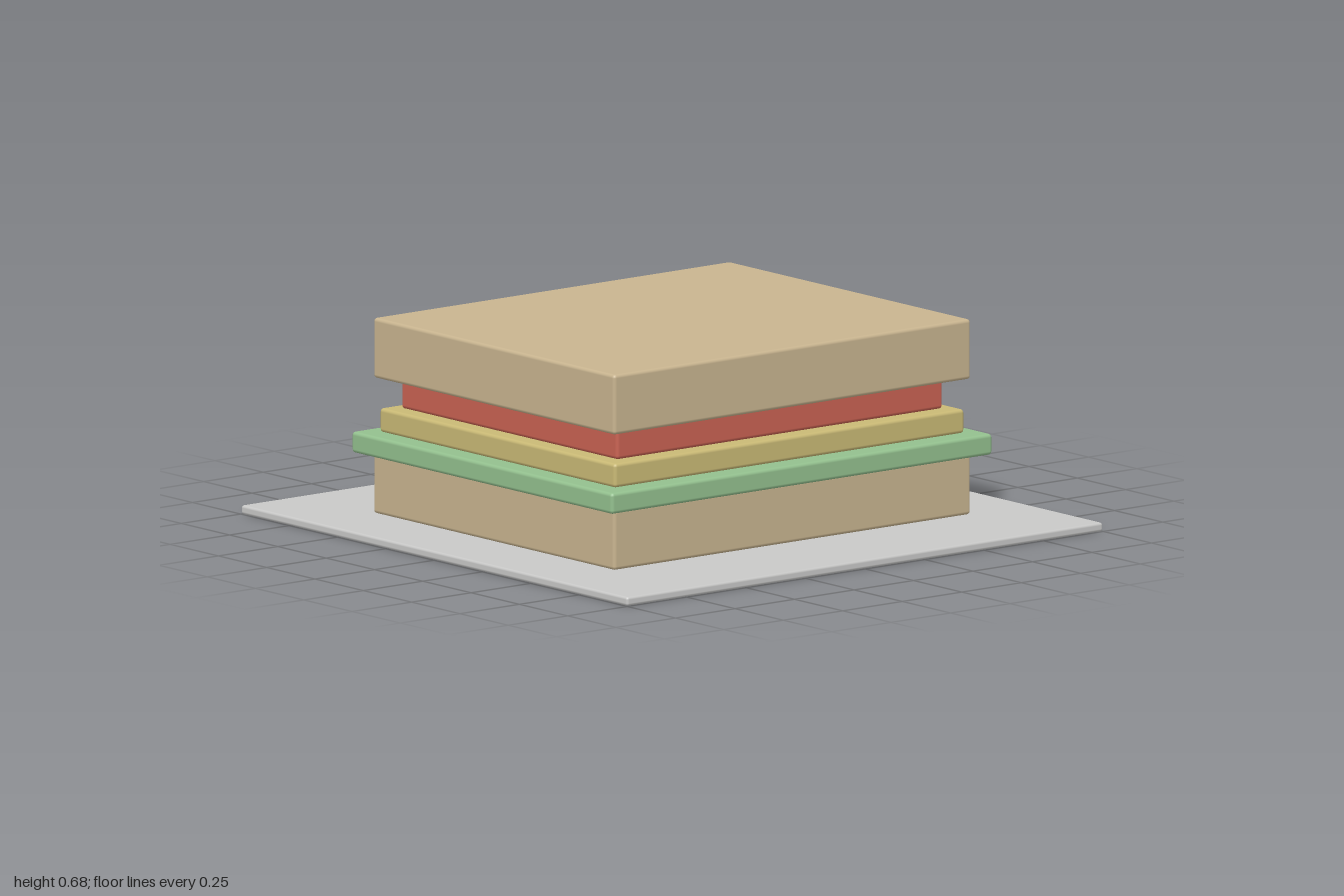
import * as THREE from 'three';
import { RoundedBoxGeometry } from 'three/addons/geometries/RoundedBoxGeometry.js';

const flat = (name, color) => {
  const material = new THREE.MeshStandardMaterial({ color });
  material.name = name;
  return material;
};

export function createModel() {
  const group = new THREE.Group();
  group.name = 'sandwich';

  const plate = flat('plate grey', 0xc8c8c7);
  const bread = flat('bread tan', 0xc8b48f);
  const lettuce = flat('lettuce green', 0x93c08e);
  const cheese = flat('cheese yellow', 0xc9b975);
  const tomato = flat('tomato red', 0xc96252);

  // Layers from bottom to top: name, material, width, depth, bottom, top
  const layers = [
    ['plate', plate, 2, 2, 0, 0.03],
    ['bottomBread', bread, 1.5, 1.25, 0.03, 0.23],
    ['lettuce', lettuce, 1.6, 1.35, 0.23, 0.3],
    ['cheese', cheese, 1.47, 1.22, 0.3, 0.38],
    ['tomato', tomato, 1.37, 1.12, 0.38, 0.48],
    ['topBread', bread, 1.5, 1.25, 0.48, 0.68],
  ];

  for (const [name, material, width, depth, bottom, top] of layers) {
    const height = top - bottom;
    // Softened edges, smaller on the thin plate
    const radius = Math.min(0.012, height * 0.3);
    const mesh = new THREE.Mesh(new RoundedBoxGeometry(width, height, depth, 2, radius), material);
    mesh.name = name;
    mesh.position.y = (bottom + top) / 2;
    group.add(mesh);
  }
  return group;
}
